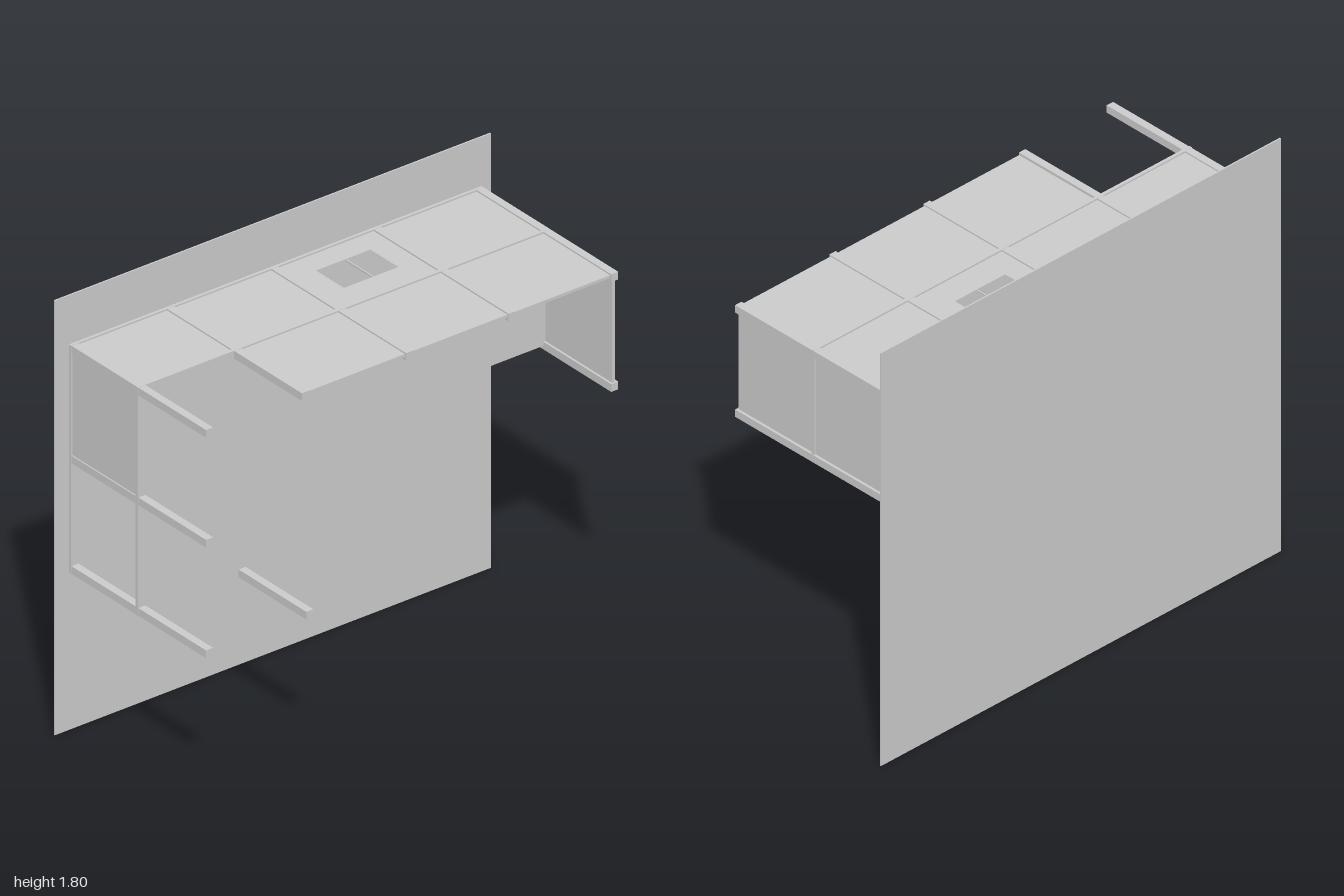
import * as THREE from 'three';

const material = new THREE.MeshStandardMaterial({ color: 0xcccccc, flatShading: true });

export function createModel() {
  const model = new THREE.Group();

  const add = (name, geometry) => {
    const mesh = new THREE.Mesh(geometry, material);
    mesh.name = name;
    model.add(mesh);
    return mesh;
  };

  // Box given by its lowest and highest corner
  const box = (name, [x0, y0, z0], [x1, y1, z1]) =>
    add(name, new THREE.BoxGeometry(x1 - x0, y1 - y0, z1 - z0)
      .translate((x0 + x1) / 2, (y0 + y1) / 2, (z0 + z1) / 2));

  // Flat plate with an outline in x and y
  const plate = (name, outline, z0, z1) =>
    add(name, new THREE.ExtrudeGeometry(
      new THREE.Shape(outline.map(([x, y]) => new THREE.Vector2(x, y))),
      { depth: z1 - z0, bevelEnabled: false }).translate(0, 0, z0));

  // Ground; the building rises from it along +z
  box('ground', [-1, 0, -0.403], [1, 1.8, -0.397]);

  // Floors
  plate('groundFloor', [[-0.935, 0.65], [0.485, 0.65], [0.485, 1.125],
    [0.955, 1.125], [0.955, 1.597], [-0.935, 1.597]], -0.397, -0.385);
  plate('upperFloor', [[-0.935, 0.65], [-0.365, 0.65], [-0.365, 0.89], [0.01, 0.89],
    [0.01, 1.125], [0.955, 1.125], [0.955, 1.597], [-0.935, 1.597]], -0.007, 0.007);

  // Posts: x, y, top z
  const top = 0.403, half = 0.016;
  const posts = [
    [-0.917, 0.667, top], [-0.457, 0.667, top], [-0.917, 1.125, top], [-0.917, 1.58, top],
    [-0.478, 1.58, top], [0, 1.58, top], [0.47, 1.58, top], [0.941, 1.58, top],
    [0.941, 1.125, top], [-0.457, 1.045, 0],
  ];
  for (const [x, y, z] of posts)
    box('post', [x - half, y - half, -0.397], [x + half, y + half, z]);

  // Long walls, the lower ones with a window opening
  const windowWall = (name, y, x0, x1) => {
    const shape = new THREE.Shape([[x0, -0.39], [x1, -0.39], [x1, 0], [x0, 0]]
      .map(([x, z]) => new THREE.Vector2(x, -z)));
    shape.holes.push(new THREE.Path([[0.11, -0.285], [0.36, -0.285], [0.36, -0.122], [0.11, -0.122]]
      .map(([x, z]) => new THREE.Vector2(x, -z))));
    add(name, new THREE.ExtrudeGeometry(shape, { depth: 0.012, bevelEnabled: false })
      .rotateX(-Math.PI / 2).translate(0, y, 0));
  };
  windowWall('lowerBackWall', 1.578, -0.925, 0.945);
  windowWall('lowerFrontWall', 1.13, -0.925, 0.945);
  box('windowBar', [0.246, 1.58, -0.285], [0.251, 1.587, -0.122]);
  box('upperBackWall', [-0.457, 1.578, 0], [0.945, 1.59, 0.397]);

  // End walls
  box('rightLowerEndWall', [-0.928, 1.125, -0.39], [-0.916, 1.585, 0]);
  box('leftLowerEndWall', [0.934, 1.125, -0.39], [0.946, 1.585, 0]);
  box('leftUpperEndWall', [0.934, 1.125, 0], [0.946, 1.585, 0.397]);

  // Stairs: a thin folded band going down towards +x
  const steps = 12, run = 0.375 / steps, rise = 0.37 / steps, t = 0.008;
  const upper = [], lower = [];
  for (let i = 0; i < steps; i++) {
    const x = -0.365 + i * run, z = -0.015 - i * rise;
    upper.push(new THREE.Vector2(x, z), new THREE.Vector2(x + run, z));
    lower.push(new THREE.Vector2(x - t, z - t), new THREE.Vector2(x + run - t, z - t));
  }
  upper.push(new THREE.Vector2(0.01, -0.385));
  lower.push(new THREE.Vector2(0.01 - t, -0.385));
  add('stairs', new THREE.ExtrudeGeometry(new THREE.Shape([...upper, ...lower.reverse()]),
    { depth: 0.157, bevelEnabled: false }).rotateX(Math.PI / 2).translate(0, 0.89, 0));

  return model;
}
